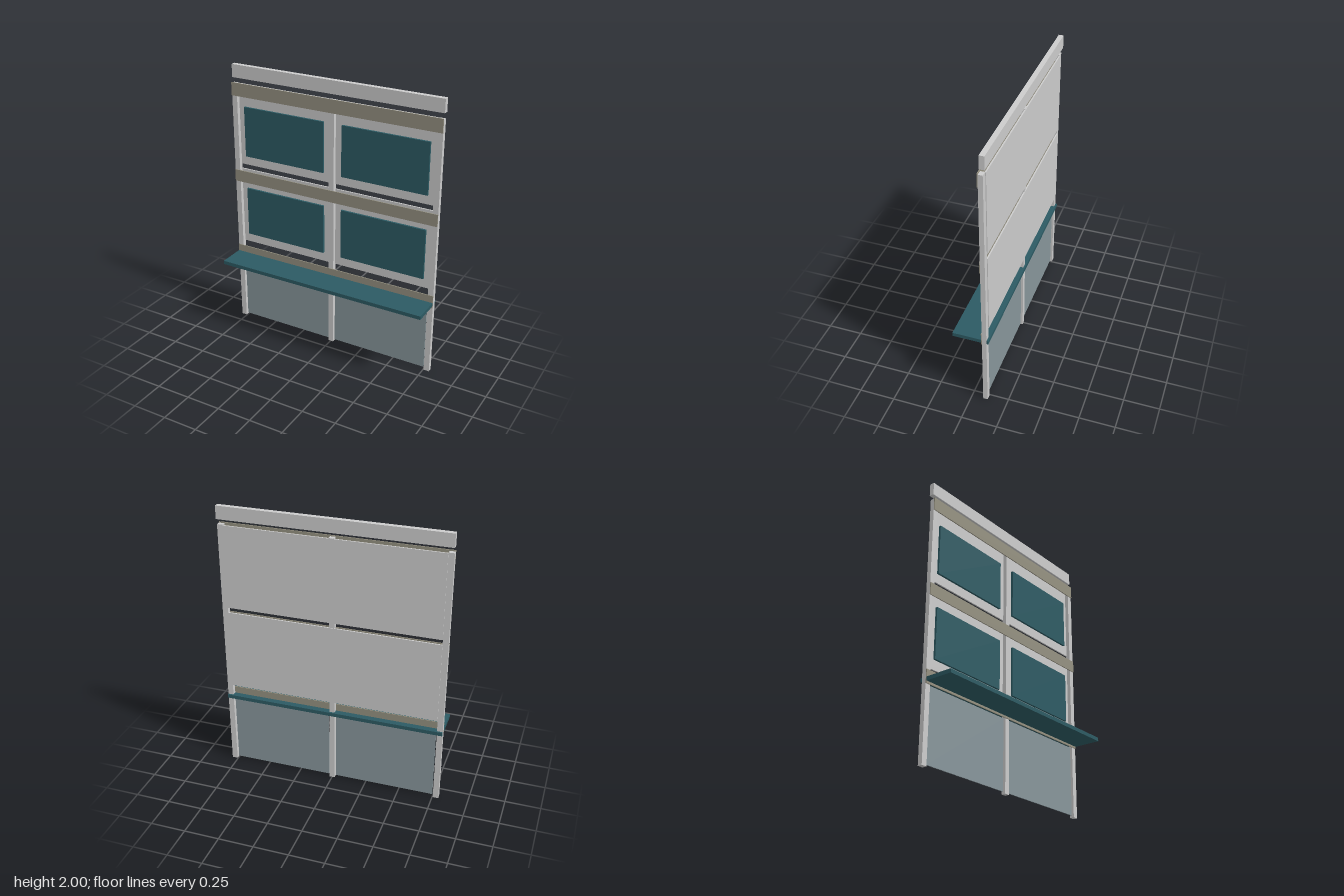
import * as THREE from 'three';

export function createModel() {
  const root = new THREE.Group();
  root.name = 'displayWall';

  const material = (name, color) => {
    const m = new THREE.MeshStandardMaterial({ color });
    m.name = name;
    return m;
  };
  const lightGrey = material('lightGrey', 0xcbcbcb);
  const taupe = material('taupe', 0x949080);
  const teal = material('teal', 0x2c5a63);
  const slate = material('slateGrey', 0x87959a);

  // Box given by its minimum and maximum on each axis
  const box = (name, mat, [x0, x1], [y0, y1], [z0, z1]) => {
    const mesh = new THREE.Mesh(new THREE.BoxGeometry(x1 - x0, y1 - y0, z1 - z0), mat);
    mesh.position.set((x0 + x1) / 2, (y0 + y1) / 2, (z0 + z1) / 2);
    mesh.name = name;
    root.add(mesh);
  };

  const halfWidth = 0.795;
  const full = [-halfWidth, halfWidth];

  // Upright posts
  const postZ = [-0.113, -0.081];
  box('rightPost', lightGrey, [-halfWidth, -0.755], [0, 1.868], postZ);
  box('centrePost', lightGrey, [-0.019, 0.019], [0, 1.868], postZ);
  box('leftPost', lightGrey, [0.755, halfWidth], [0, 1.868], postZ);

  // Separate beam above the frame
  box('topBeam', lightGrey, full, [1.907, 2], [-0.125, -0.09]);

  // Cross rails on the front of the posts
  for (const y of [[1.78, 1.875], [1.135, 1.222], [0.52, 0.614]]) {
    box('crossRail', taupe, full, y, [-0.082, -0.075]);
  }

  // Backing boards between the outer posts
  for (const y of [[1.265, 1.865], [0.645, 1.228]]) {
    box('backBoard', lightGrey, [-0.755, 0.755], y, [-0.118, -0.108]);
  }

  for (const side of [-1, 1]) {
    const span = (a, b) => (side > 0 ? [a, b] : [-b, -a]);
    // Raised display panels
    for (const y of [[1.333, 1.702], [0.715, 1.083]]) {
      box('displayPanel', teal, span(0.07, 0.708), y, [-0.108, -0.093]);
    }
    // Lower infill panels
    box('lowerPanel', slate, span(0.027, 0.747), [0.015, 0.52], [-0.1, -0.093]);
  }

  // Counter shelf passing through the frame
  box('shelf', teal, [-0.794, 0.794], [0.535, 0.562], [-0.125, 0.125]);

  return root;
}
